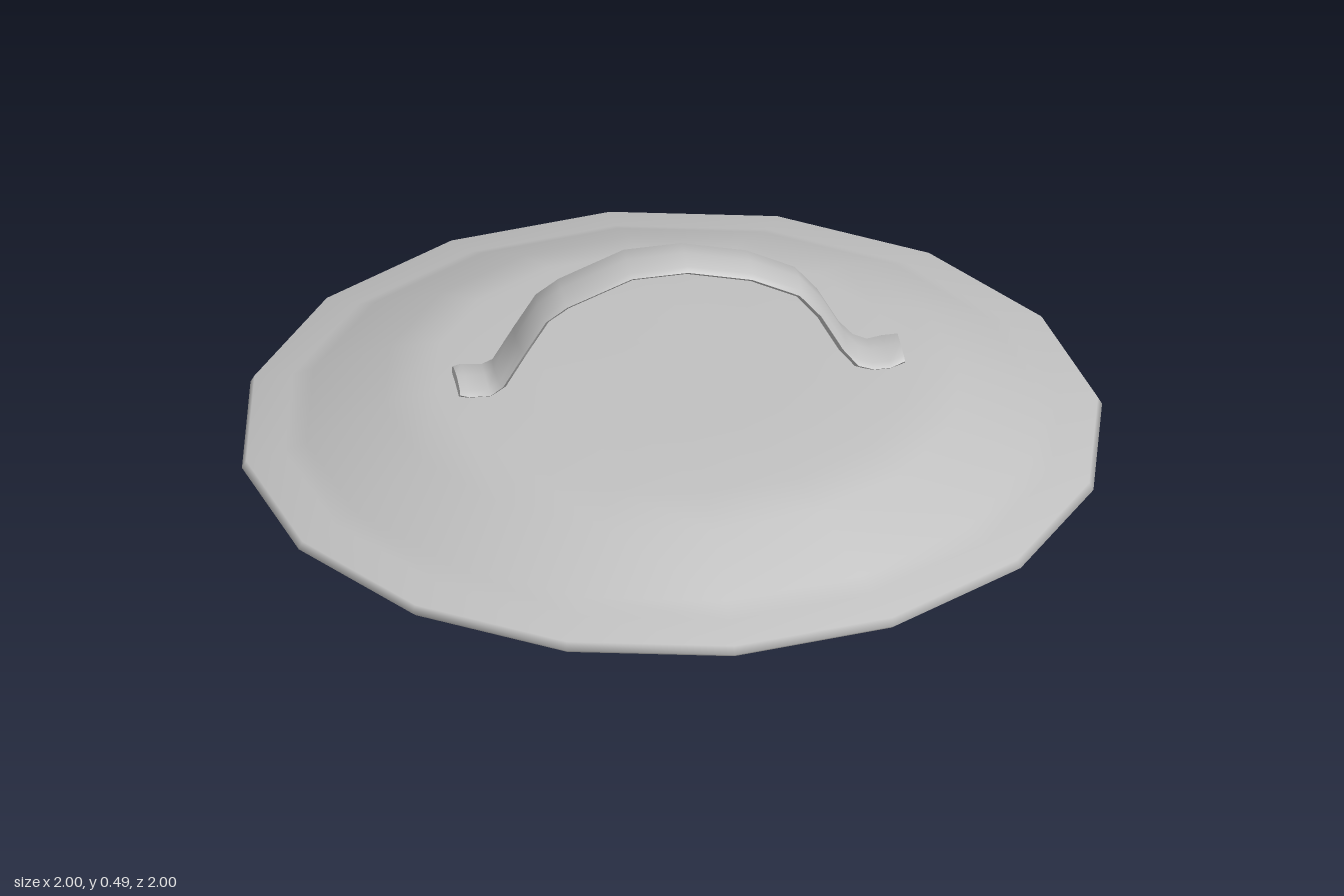
import * as THREE from 'three';
import { toCreasedNormals } from 'three/addons/utils/BufferGeometryUtils.js';

const SIDES = 16;

// Band swept along stations of [x, y, zMin, zMax], domed on its outer face.
function bandGeometry(stations, half) {
  const section = [[-1, 0], [-0.8, 0.7], [0, 1.1], [0.8, 0.7], [1, 0], [0.8, -0.8], [0, -0.6], [-0.8, -0.8]];
  const n = section.length, last = stations.length - 1;
  const positions = [], index = [];
  stations.forEach(([x, y, z0, z1], i) => {
    const a = stations[Math.max(i - 1, 0)], b = stations[Math.min(i + 1, last)];
    const t = new THREE.Vector2(b[0] - a[0], b[1] - a[1]).normalize();
    for (const [u, v] of section) {
      positions.push(x - t.y * v * half, y + t.x * v * half, (z0 + z1) / 2 + u * (z1 - z0) / 2);
    }
    if (i === last) return;
    for (let j = 0; j < n; j++) {
      const k = (j + 1) % n, p = i * n, q = p + n;
      index.push(p + j, p + k, q + j, p + k, q + k, q + j);
    }
  });
  // Closed ends
  for (let j = 1; j < n - 1; j++) {
    index.push(0, j + 1, j, last * n, last * n + j, last * n + j + 1);
  }
  const geometry = new THREE.BufferGeometry();
  geometry.setAttribute('position', new THREE.Float32BufferAttribute(positions, 3));
  geometry.setIndex(index);
  return toCreasedNormals(geometry, 1.0);
}

export function createModel() {
  const group = new THREE.Group();
  const metal = new THREE.MeshStandardMaterial({ color: 0xc0c0c0 });
  metal.name = 'light grey metal';
  const add = (name, geometry) => {
    const mesh = new THREE.Mesh(geometry, metal);
    mesh.name = name;
    group.add(mesh);
    return mesh;
  };

  // Domed lid with a shallow flared rim
  const profile = [
    [0.985, 0], [1, 0.012], [0.99, 0.03], [0.9, 0.046], [0.85, 0.068],
    [0.67, 0.153], [0.55, 0.181], [0.3, 0.187], [0, 0.189],
  ].map(([r, y]) => new THREE.Vector2(r, y));
  add('lid', new THREE.LatheGeometry(profile, SIDES));

  // Flat underside
  add('underside', new THREE.CircleGeometry(0.985, SIDES).rotateX(Math.PI / 2));

  // Arched strap handle with splayed feet
  add('handle', bandGeometry([
    [-0.5, 0.192, -0.08, 0.05], [-0.48, 0.19, -0.094, 0.058], [-0.43, 0.188, -0.09, 0.056],
    [-0.4, 0.205, -0.084, 0.05], [-0.35, 0.29, -0.082, 0.05], [-0.3, 0.37, -0.082, 0.05],
    [-0.25, 0.405, -0.082, 0.05], [-0.1, 0.468, -0.084, 0.05], [0.03, 0.474, -0.084, 0.05],
    [0.18, 0.442, -0.084, 0.05], [0.29, 0.39, -0.083, 0.05], [0.34, 0.33, -0.082, 0.05],
    [0.39, 0.24, -0.08, 0.053], [0.425, 0.197, -0.088, 0.06], [0.46, 0.187, -0.075, 0.064],
    [0.5, 0.188, -0.085, 0.064], [0.535, 0.194, -0.075, 0.05],
  ], 0.013));

  return group;
}
